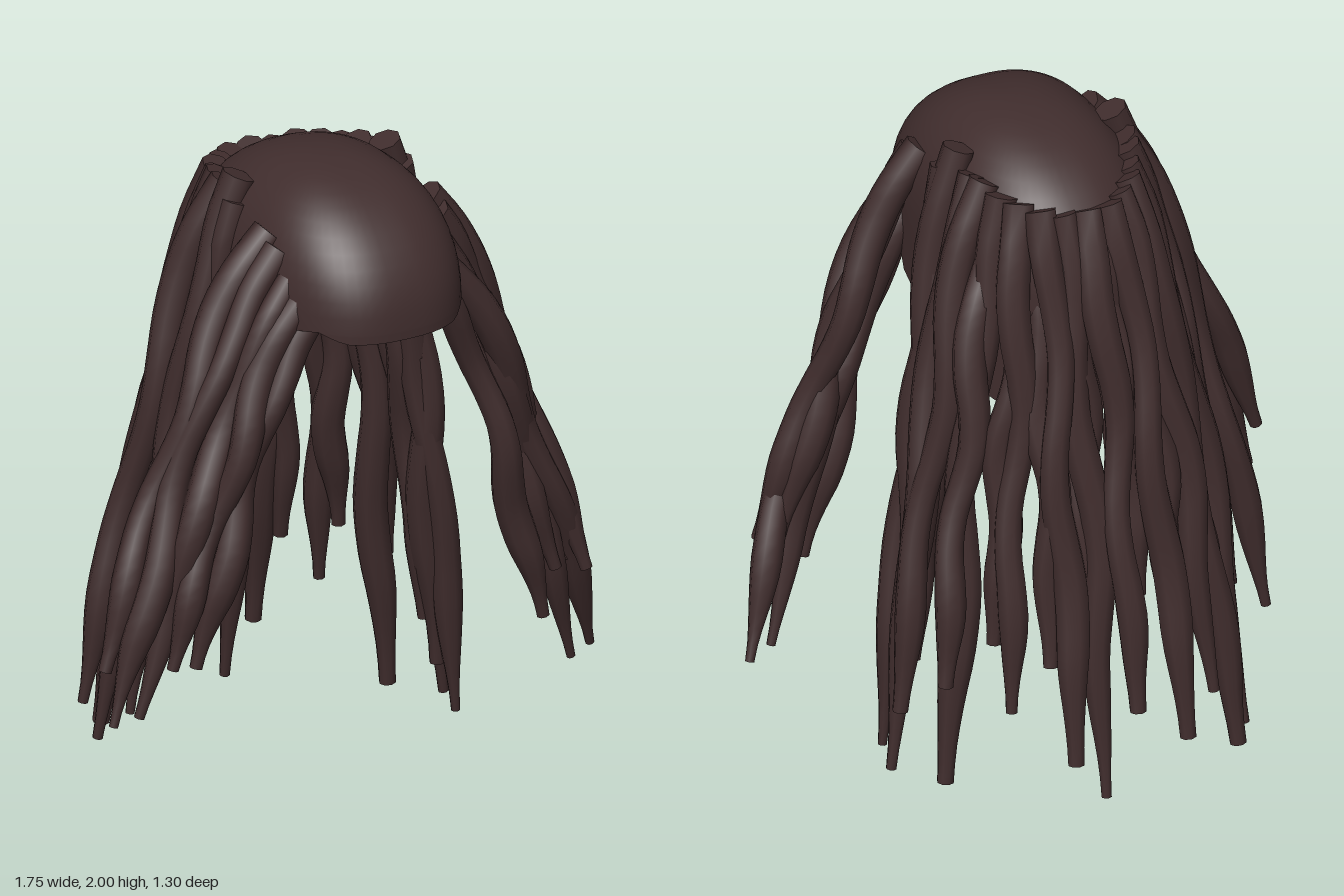
import * as THREE from 'three';
import { mergeVertices, toCreasedNormals } from 'three/addons/utils/BufferGeometryUtils.js';

const hair = new THREE.MeshStandardMaterial({ color: 0x402d2d, side: THREE.DoubleSide });
hair.name = 'dark brown hair';

const spow = (v, p) => Math.sign(v) * Math.abs(v) ** p;

// Point on the scalp surface: angle in degrees (0 = back, 90 = left side, 180 = front)
function scalp(angle, y, scale = 1) {
  const a = THREE.MathUtils.degToRad(angle);
  const h = THREE.MathUtils.clamp((y - 1.6) / 0.4, 0, 1);
  const front = Math.cos(a) < 0;
  const power = front ? 0.8 : 0.88; // squarer at the front
  const x = 0.325 * (1 - h ** 2.5) ** 0.42 * spow(Math.sin(a), power);
  const z = -(front ? 0.48 : 0.53) * Math.sqrt(1 - h * h) * spow(Math.cos(a), power);
  return new THREE.Vector3(x * scale, y, 0.17 + z * scale);
}

// Height of the hairline at each angle
const hairline = [[0, 1.2], [55, 1.21], [75, 1.38], [100, 1.4], [112, 1.58], [135, 1.6], [150, 1.57], [180, 1.57]];
function edgeHeight(angle) {
  const a = Math.abs(angle);
  const i = Math.max(1, hairline.findIndex(p => p[0] >= a - 1e-6));
  const [a0, y0] = hairline[i - 1], [a1, y1] = hairline[i];
  return THREE.MathUtils.lerp(y0, y1, (a - a0) / (a1 - a0));
}

// Cap: a dome continued straight down to the hairline
function makeCap() {
  const rows = 18, dome = 13;
  const geo = new THREE.PlaneGeometry(1, 1, 64, rows);
  const pos = geo.attributes.position;
  for (let i = 0; i < pos.count; i++) {
    const angle = -360 * pos.getX(i);
    const row = Math.round((0.5 - pos.getY(i)) * rows);
    const y = row <= dome
      ? 1.6 + 0.4 * Math.cos(row / dome * Math.PI / 2)
      : THREE.MathUtils.lerp(1.6, edgeHeight(angle), (row - dome) / (rows - dome));
    const p = scalp(angle, y);
    pos.setXYZ(i, p.x, p.y, p.z);
  }
  geo.deleteAttribute('uv');
  geo.deleteAttribute('normal');
  const cap = mergeVertices(geo, 1e-4);
  cap.computeVertexNormals();
  return cap;
}

// One wavy lock from root to tip, tapered near the tip and closed at the root
function makeLock(root, tip, tipRadius, easeX, easeZ, phase) {
  const out = new THREE.Vector3(tip.x - root.x, 0, tip.z - root.z).normalize();
  const points = [];
  for (let i = 0; i <= 12; i++) {
    const t = i / 12;
    const sway = 0.026 * Math.sin(t * 12 + phase) * Math.sin(Math.PI * Math.min(1, t * 1.1 + 0.02));
    const bob = 0.014 * Math.sin(t * 10 + phase * 2) * Math.sin(Math.PI * t);
    points.push(new THREE.Vector3(
      THREE.MathUtils.lerp(root.x, tip.x, t ** easeX) - out.z * sway + out.x * bob,
      THREE.MathUtils.lerp(root.y, tip.y, t),
      THREE.MathUtils.lerp(root.z, tip.z, t ** easeZ) + out.x * sway + out.z * bob));
  }
  const curve = new THREE.CatmullRomCurve3(points);
  const n = 30, sides = 8;
  const geo = new THREE.TubeGeometry(curve, n, 1, sides);
  const pos = geo.attributes.position, v = new THREE.Vector3();
  for (let i = 0; i <= n; i++) {
    const t = i / n;
    const centre = curve.getPointAt(t);
    const body = 0.048 + 0.006 * Math.sin(t * 8 + phase);
    let r = THREE.MathUtils.lerp(body, tipRadius, THREE.MathUtils.smoothstep(t, 0.78, 1));
    // The first two rings share a centre, which makes a flat root cap
    const place = i === 1 ? curve.getPointAt(0) : centre;
    if (i === 0) r = 0;
    for (let j = 0; j <= sides; j++) {
      const k = i * (sides + 1) + j;
      v.fromBufferAttribute(pos, k).sub(centre).multiplyScalar(r).add(place);
      pos.setXYZ(k, v.x, v.y, v.z);
    }
  }
  geo.deleteAttribute('uv');
  geo.deleteAttribute('normal');
  return toCreasedNormals(mergeVertices(geo, 1e-5), 0.9);
}

// Each lock: root angle, root height, root scale, tip x, y, z, tip radius
const frontLocks = [
  [103, 1.84, 0.98, 0.76, 0.56, 0.39, 0.02],
  [110, 1.8, 0.93, 0.72, 0.58, 0.33, 0.02],
  [117, 1.72, 0.9, 0.76, 0.24, 0.3, 0.014],
  [123, 1.66, 0.88, 0.86, 0.24, 0.24, 0.014],
  [129, 1.62, 0.8, 0.6, 0.45, 0.41, 0.02],
  [113, 1.64, 0.82, 0.66, 0.58, 0.38, 0.02],
  [-103, 1.84, 0.98, -0.86, 0.56, 0.33, 0.02],
  [-110, 1.8, 0.93, -0.86, 0.4, 0.38, 0.014],
  [-117, 1.72, 0.9, -0.76, 0.4, 0.36, 0.016],
  [-123, 1.66, 0.88, -0.68, 0.56, 0.42, 0.018],
  [-129, 1.62, 0.8, -0.6, 0.55, 0.42, 0.02],
  [-113, 1.64, 0.82, -0.68, 0.58, 0.28, 0.018],
];
const sideLocks = [
  [77, 1.94, 1.25, 0.54, 0, 0, 0.014],
  [82, 1.87, 1.05, 0.5, 0.15, -0.04, 0.024],
  [66, 1.89, 1.06, 0.58, 0, -0.14, 0.016],
  [57, 1.89, 1.06, 0.58, 0.23, -0.2, 0.024],
  [46, 1.87, 1.03, 0.47, 0, -0.28, 0.026],
  [70, 1.65, 0.95, 0.46, 0.3, -0.05, 0.02],
  [55, 1.65, 0.92, 0.51, 0.38, -0.36, 0.024],
  [-77, 1.94, 1.25, -0.58, 0.24, 0, 0.014],
  [-82, 1.87, 1.05, -0.47, 0.45, 0.06, 0.024],
  [-66, 1.89, 1.06, -0.66, 0.24, -0.14, 0.016],
  [-57, 1.89, 1.06, -0.5, 0.4, -0.22, 0.024],
  [-46, 1.87, 1.03, -0.48, 0, -0.36, 0.016],
  [-70, 1.65, 0.95, -0.48, 0.5, -0.04, 0.02],
  [-55, 1.65, 0.92, -0.44, 0.45, -0.25, 0.024],
];
const backLocks = [
  [36, 1.86, 1.03, 0.34, 0.3, -0.46, 0.018],
  [24, 1.85, 1.03, 0.19, 0.15, -0.59, 0.026],
  [12, 1.84, 1.03, 0.08, 0, -0.57, 0.016],
  [0, 1.84, 1.03, 0, 0.3, -0.62, 0.026],
  [-12, 1.84, 1.03, -0.18, 0.15, -0.59, 0.026],
  [-24, 1.85, 1.03, -0.3, 0.24, -0.52, 0.018],
  [-36, 1.86, 1.03, -0.41, 0, -0.46, 0.026],
  [38, 1.63, 0.86, 0.36, 0.5, -0.38, 0.022],
  [28, 1.63, 0.85, 0.23, 0.45, -0.5, 0.024],
  [10, 1.63, 0.85, 0.08, 0.5, -0.48, 0.022],
  [-8, 1.63, 0.85, -0.08, 0.6, -0.46, 0.024],
  [-22, 1.63, 0.85, -0.18, 0.45, -0.5, 0.024],
  [-38, 1.63, 0.86, -0.36, 0.4, -0.4, 0.022],
];

export function createModel() {
  const model = new THREE.Group();
  model.name = 'dreadlockHair';

  const cap = new THREE.Mesh(makeCap(), hair);
  cap.name = 'scalpCap';
  model.add(cap);

  const addLocks = (name, list, easeX, easeZ) => {
    const group = new THREE.Group();
    group.name = name;
    list.forEach(([angle, y, scale, tx, ty, tz, tipRadius], i) => {
      const root = scalp(angle, y, scale);
      const lock = new THREE.Mesh(
        makeLock(root, new THREE.Vector3(tx, ty, tz), tipRadius, easeX, easeZ, i * 2.1), hair);
      lock.name = 'lock' + (i + 1);
      group.add(lock);
    });
    model.add(group);
  };
  addLocks('frontLocks', frontLocks, 0.75, 2);
  addLocks('sideLocks', sideLocks, 0.7, 0.75);
  addLocks('backLocks', backLocks, 0.75, 0.7);
  return model;
}
